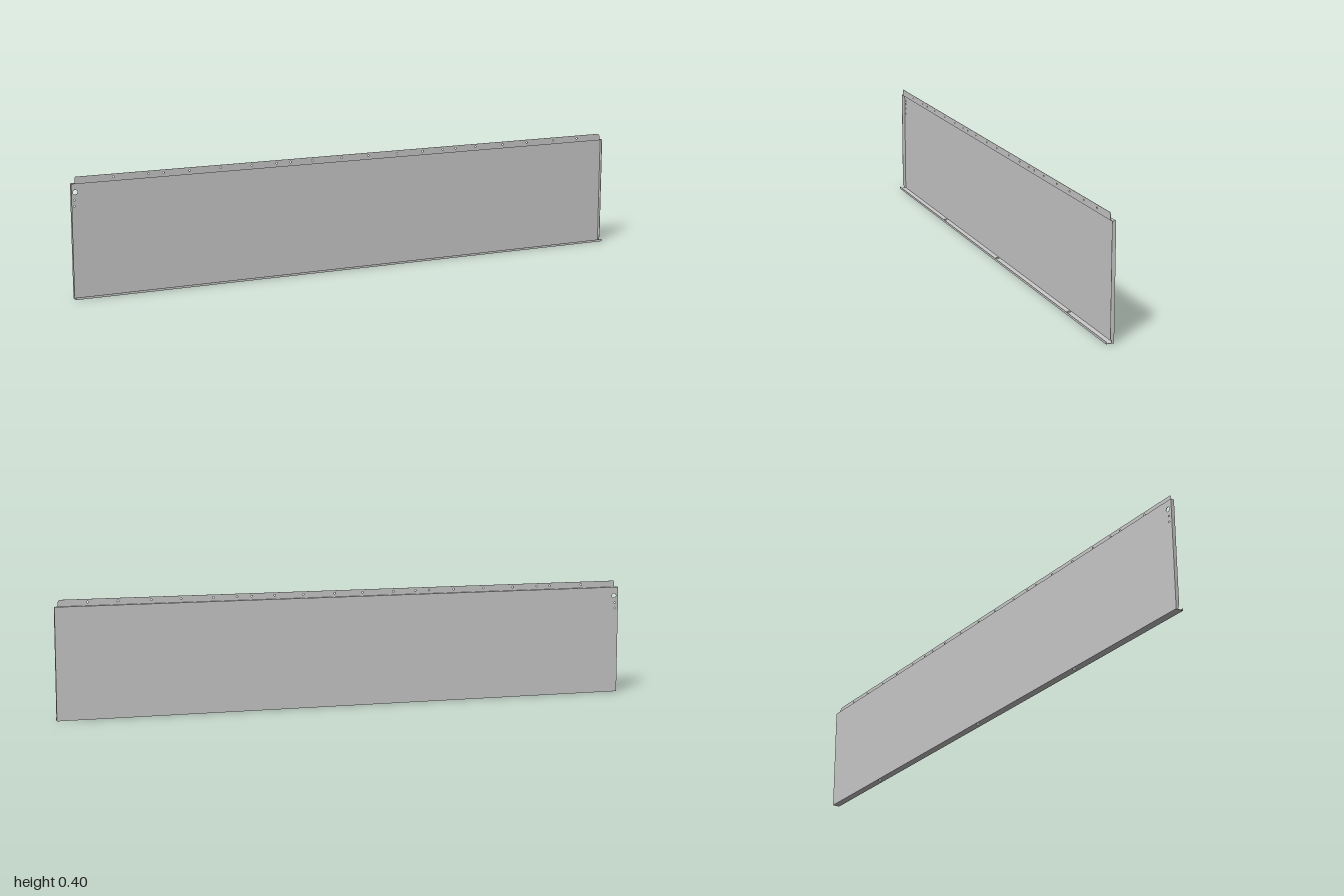
import * as THREE from 'three';

const T = 0.0015;                  // sheet thickness
const BACK = -0.013, FRONT = 0.013; // depth limits
const MID = -0.0005;               // front plane of the side and top flanges
const TOP = 0.375;                 // height of the top bend

// Outline from corner points, with round holes given as [x, y, radius]
function outline(points, holes = []) {
  const shape = new THREE.Shape(points.map(p => new THREE.Vector2(...p)));
  for (const [x, y, r] of holes) {
    shape.holes.push(new THREE.Path().absarc(x, y, r, 0, Math.PI * 2, true));
  }
  return shape;
}

const rect = (x0, y0, x1, y1) => [[x0, y0], [x1, y0], [x1, y1], [x0, y1]];

export function createModel() {
  const group = new THREE.Group();
  const material = new THREE.MeshStandardMaterial({ color: 0xcccccc });

  function plate(name, shape) {
    const geometry = new THREE.ExtrudeGeometry(shape, { depth: T, bevelEnabled: false, curveSegments: 8 });
    const mesh = new THREE.Mesh(geometry, material);
    mesh.name = name;
    group.add(mesh);
    return mesh;
  }

  // Main sheet at the back, with a cable hole and two small screw holes
  plate('mainPanel', outline(rect(-1, 0, 1, TOP),
    [[-0.984, 0.345, 0.008], [-0.988, 0.32, 0.003], [-0.988, 0.3, 0.003]])).position.z = BACK;

  // End flanges folded forward, notched above the bottom fold
  const end = [[BACK, T], [-0.005, T], [-0.004, 0.01], [MID, 0.014], [MID, TOP], [BACK, TOP]];
  for (const [name, x] of [['leftEndFlange', 1], ['rightEndFlange', -1 + T]]) {
    const flange = plate(name, outline(end));
    flange.geometry.rotateY(-Math.PI / 2);
    flange.position.x = x;
  }

  // Top ledge folded forward
  const ledgeHoles = [-0.93, -0.86, -0.77].map(x => [x, -0.006, 0.003]);
  const ledge = plate('topLedge', outline(rect(-1, BACK, 1, MID), ledgeHoles));
  ledge.geometry.rotateX(Math.PI / 2);
  ledge.position.y = TOP;

  // Upright mounting lip with chamfered corners and a row of screw holes
  const lipHoles = [-0.86, -0.74, -0.69, -0.6, -0.49, -0.38, -0.29, -0.24, -0.16, -0.05, 0.05,
    0.16, 0.26, 0.34, 0.39, 0.47, 0.58, 0.68, 0.79, 0.89].map(x => [x, 0.387, 0.003]);
  plate('mountingLip', outline([[-0.988, TOP - T], [0.988, TOP - T], [0.988, 0.389],
    [0.982, 0.397], [-0.985, 0.397], [-0.988, 0.394]], lipHoles)).position.z = MID - T;

  // Bottom flange folded forward, with drain holes
  const drainHoles = [-0.49, 0.05, 0.68].map(x => [x, -0.003, 0.006]);
  const bottom = plate('bottomFlange', outline(rect(-1, BACK, 1, FRONT), drainHoles));
  bottom.geometry.rotateX(Math.PI / 2);
  bottom.position.y = T;

  // Short upturned lip along the front of the bottom flange
  plate('bottomLip', outline(rect(-1, 0, 1, 0.0075))).position.z = FRONT - T;

  return group;
}
